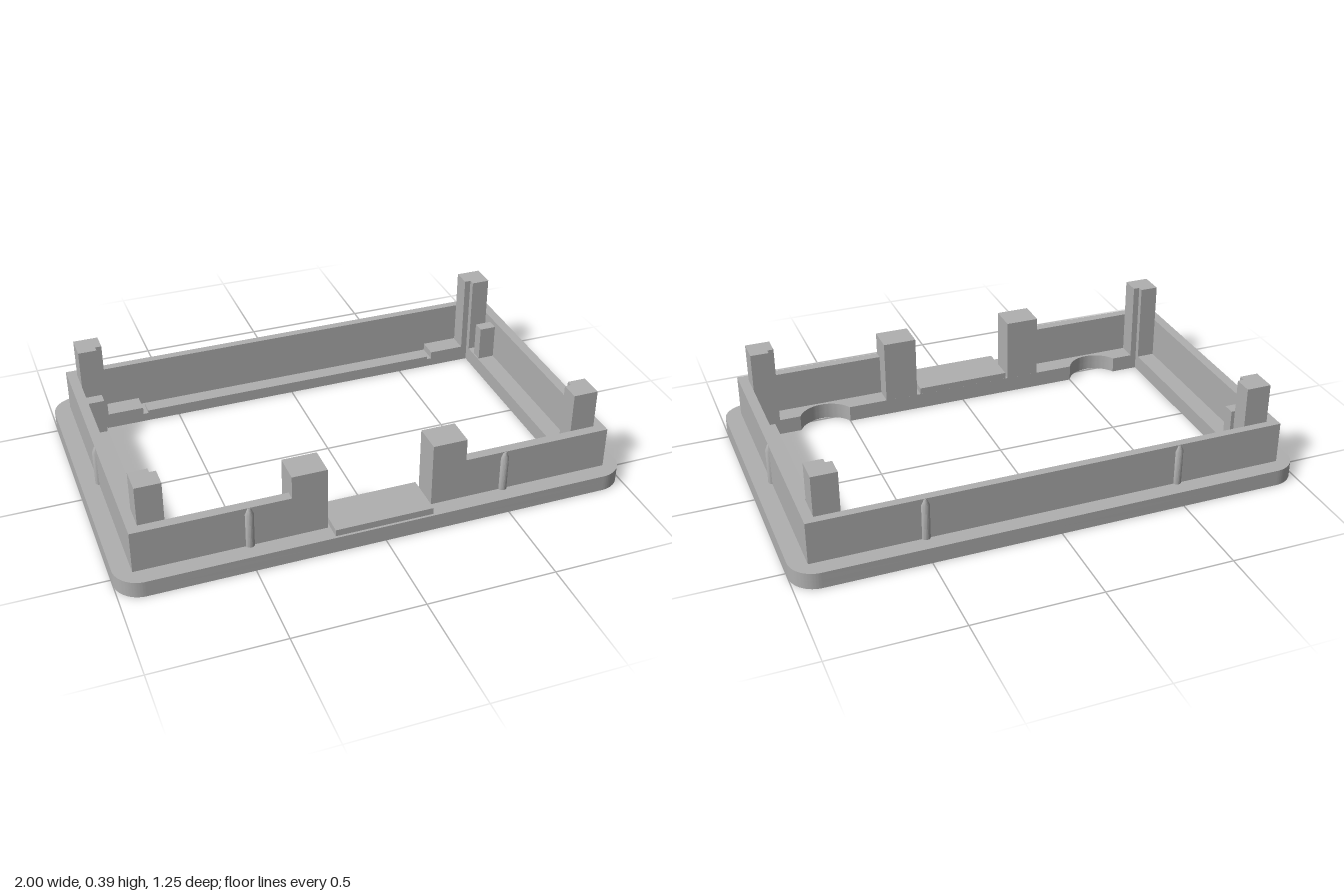
import * as THREE from 'three';
import { toCreasedNormals } from 'three/addons/utils/BufferGeometryUtils.js';

const PLATE_TOP = 0.065, WALL_TOP = 0.233;

export function createModel() {
  const model = new THREE.Group();
  model.name = 'bezelFrame';
  const grey = new THREE.MeshStandardMaterial({ color: 0xb0b0b0 });
  grey.name = 'plastic grey';

  const add = (name, geometry) => {
    const mesh = new THREE.Mesh(geometry, grey);
    mesh.name = name;
    model.add(mesh);
    return mesh;
  };
  // Plan outline in (x, z), raised from y0 to y1
  const slab = (name, shape, y0, y1) => {
    const g = new THREE.ExtrudeGeometry(shape, { depth: y1 - y0, bevelEnabled: false, curveSegments: 16 });
    g.rotateX(Math.PI / 2).translate(0, y1, 0);
    return add(name, toCreasedNormals(g, 0.6));
  };
  const block = (name, x0, x1, y0, y1, z0, z1) =>
    add(name, new THREE.BoxGeometry(x1 - x0, y1 - y0, z1 - z0)
      .translate((x0 + x1) / 2, (y0 + y1) / 2, (z0 + z1) / 2));
  const polygon = (points) => new THREE.Shape(points.map(([x, z]) => new THREE.Vector2(x, z)));

  // Rounded base plate; the opening has two finger notches at the front
  const plateShape = (recessed) => {
    const X = 1, Z = 0.627, r = 0.1, s = new THREE.Shape();
    s.absarc(X - r, Z - r, r, 0, Math.PI / 2);
    s.absarc(-X + r, Z - r, r, Math.PI / 2, Math.PI);
    s.absarc(-X + r, -Z + r, r, Math.PI, Math.PI * 1.5);
    s.absarc(X - r, -Z + r, r, Math.PI * 1.5, Math.PI * 2);
    const hole = new THREE.Path();
    hole.moveTo(-0.82, -0.45);
    hole.lineTo(-0.82, 0.445);
    for (const x of [-0.605, 0.605]) hole.absarc(x, 0.393, 0.117, Math.PI - 0.46, 0.46, true);
    hole.lineTo(0.82, 0.445);
    hole.lineTo(0.82, -0.45);
    if (recessed) {
      hole.lineTo(0.65, -0.45);
      hole.lineTo(0.65, -0.53);
      hole.lineTo(-0.65, -0.53);
      hole.lineTo(-0.65, -0.45);
    }
    hole.closePath();
    s.holes.push(hole);
    return s;
  };
  slab('basePlateLower', plateShape(false), 0, 0.035);
  slab('basePlateUpper', plateShape(true), 0.035, PLATE_TOP);
  block('backLedgeStrip', -0.63, 0.63, 0.035, 0.047, -0.51, -0.45);

  // Upright wall, open at the middle of the front
  slab('wall', polygon([
    [-0.205, 0.56], [-0.932, 0.56], [-0.932, -0.562], [0.932, -0.562], [0.932, 0.56], [0.205, 0.56],
    [0.205, 0.522], [0.893, 0.522], [0.893, -0.53], [-0.893, -0.53], [-0.893, 0.522], [-0.205, 0.522],
  ]), PLATE_TOP, WALL_TOP);

  // Front tab lying in the gap
  block('frontTab', -0.195, 0.19, PLATE_TOP, 0.092, 0.445, 0.617);

  // Snap rib: half-buried cylinder with a tapered top
  const rib = (x, z) => {
    const pts = [[0, 0], [0.017, 0], [0.017, 0.142], [0.007, 0.166], [0, 0.166]]
      .map(([r, y]) => new THREE.Vector2(r, y));
    add('snapRib', toCreasedNormals(new THREE.LatheGeometry(pts, 20), 0.5)).position.set(x, PLATE_TOP, z);
  };

  for (const s of [-1, 1]) {
    // Tall posts beside the front gap
    const a = s * 0.205, b = s * 0.34;
    block('frontPost', Math.min(a, b), Math.max(a, b), PLATE_TOP, 0.325, 0.445, 0.56);

    // L-shaped corner posts
    for (const [outer, edge, inner] of [[0.521, 0.445, 0.422], [-0.525, -0.45, -0.425]]) {
      slab('cornerPost', polygon([
        [s * 0.893, outer], [s * 0.795, outer], [s * 0.795, edge],
        [s * 0.82, edge], [s * 0.82, inner], [s * 0.893, inner],
      ]), PLATE_TOP, 0.39);
    }

    // Short pegs near the back corners
    const p = s * 0.825, q = s * 0.893;
    block('sidePeg', Math.min(p, q), Math.max(p, q), PLATE_TOP, 0.21, -0.38, -0.332);

    rib(s * 0.5, 0.557);
    rib(s * 0.5, -0.557);
    rib(s * 0.927, 0);
  }
  return model;
}
